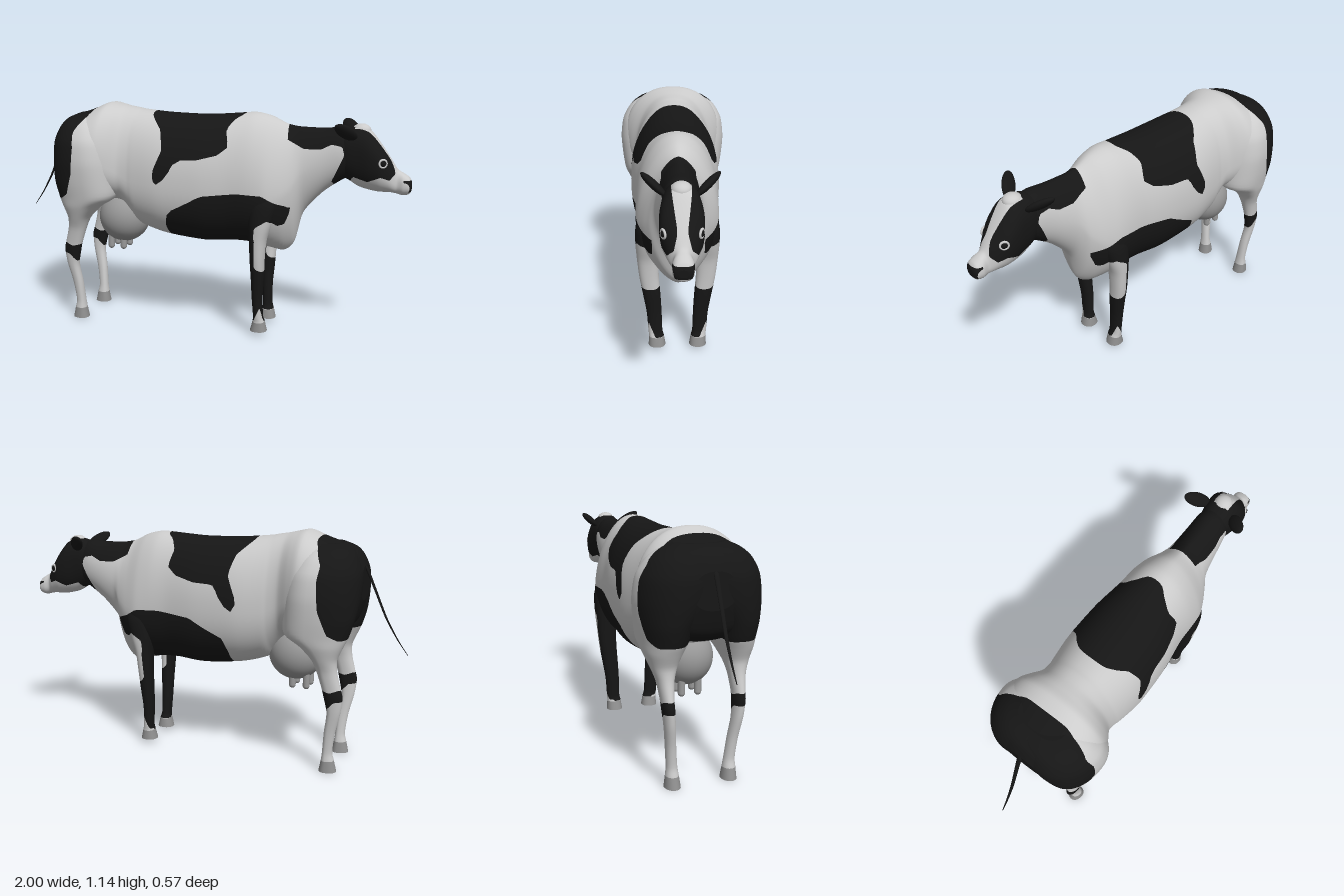
import * as THREE from 'three';

const mat = (color) => new THREE.MeshStandardMaterial({ color, side: THREE.DoubleSide });
const white = mat(0xcccccc), black = mat(0x161616), horn = mat(0x909090), skin = mat(0x999999);

// Smooth interpolation through rows of section numbers.
function sampleRows(rows, t) {
  const i = Math.min(Math.floor(t), rows.length - 2), f = t - i;
  const at = (k) => rows[Math.max(0, Math.min(rows.length - 1, k))];
  return rows[i].map((b, k) => {
    const c = at(i + 1)[k], m0 = (c - at(i - 1)[k]) * 0.4, m1 = (at(i + 2)[k] - b) * 0.4;
    const f2 = f * f, f3 = f2 * f;
    return b * (2 * f3 - 3 * f2 + 1) + m0 * (f3 - 2 * f2 + f) + c * (3 * f2 - 2 * f3) + m1 * (f3 - f2);
  });
}

// Loft of rounded sections. Row: [t, uMin, uWidest, uMax, zMin, zMax, power];
// t runs along x (u is y) or y (u is x); power under 1 is boxy, over 1 is pointed.
function loft(rows, axis, { steps = 4, sides = 40 } = {}) {
  const pos = [], idx = [], n = (rows.length - 1) * steps;
  const put = (t, u, z) => (axis === 'x' ? pos.push(t, u, z) : pos.push(u, t, z));
  const tri = (a, b, c) => (axis === 'x' ? idx.push(a, c, b) : idx.push(a, b, c));
  const ring = (r) => {
    const pw = (v) => Math.sign(v) * Math.abs(v) ** r[6];
    for (let j = 0; j < sides; j++) {
      const a = (j / sides) * Math.PI * 2, s = pw(Math.sin(a)), c = pw(Math.cos(a));
      put(r[0], r[2] + s * (s > 0 ? r[3] - r[2] : r[2] - r[1]), (r[4] + r[5]) / 2 + (c * (r[5] - r[4])) / 2);
    }
  };
  for (let i = 0; i <= n; i++) ring(sampleRows(rows, i / steps));
  for (let i = 0; i < n; i++) for (let j = 0; j < sides; j++) {
    const a = i * sides + j, b = i * sides + ((j + 1) % sides);
    tri(a, b, b + sides);
    tri(a, b + sides, a + sides);
  }
  [rows[0], rows[rows.length - 1]].forEach((r, end) => {
    const base = pos.length / 3;
    ring(r);
    put(r[0], r[2], (r[4] + r[5]) / 2);
    for (let j = 0; j < sides; j++) {
      const a = base + j, b = base + ((j + 1) % sides);
      end ? tri(a, b, base + sides) : tri(b, a, base + sides);
    }
  });
  const g = new THREE.BufferGeometry();
  g.setAttribute('position', new THREE.Float32BufferAttribute(pos, 3));
  g.setIndex(idx);
  g.computeVertexNormals();
  return g;
}

// Signed distance to a polygon in side elevation, positive inside.
const patch = (pts) => ([x, y]) => {
  let d = Infinity, inside = false;
  pts.forEach(([ax, ay], i) => {
    const [bx, by] = pts[(i + 1) % pts.length], ex = bx - ax, ey = by - ay;
    const k = Math.max(0, Math.min(1, ((x - ax) * ex + (y - ay) * ey) / (ex * ex + ey * ey)));
    d = Math.min(d, Math.hypot(x - ax - k * ex, y - ay - k * ey));
    if (ay > y !== by > y && x < ax + (ex * (y - ay)) / ey) inside = !inside;
  });
  return inside ? d : -d;
};
const anyOf = (...fields) => (p) => Math.max(...fields.map((f) => f(p)));

// Cuts triangles along the zero line of a field, giving [inside, outside].
function split(tris, field) {
  const out = [[], []];
  for (const t of tris) {
    const d = t.map(field), polys = [[], []];
    t.forEach((v, i) => {
      const j = (i + 1) % 3, w = t[j], k = d[i] / (d[i] - d[j]);
      polys[d[i] > 0 ? 0 : 1].push(v);
      if (d[i] > 0 !== d[j] > 0) {
        const m = v.map((a, q) => a + (w[q] - a) * k);
        polys[0].push(m);
        polys[1].push(m);
      }
    });
    polys.forEach((p, s) => { for (let i = 2; i < p.length; i++) out[s].push([p[0], p[i - 1], p[i]]); });
  }
  return out;
}

// Splits a surface into coloured meshes; layers are [name, material, field], the rest is hide.
function painted(name, geo, layers) {
  const group = new THREE.Group(), flat = geo.toNonIndexed();
  const P = flat.attributes.position, N = flat.attributes.normal;
  let rest = [];
  for (let i = 0; i < P.count; i += 3) {
    rest.push([i, i + 1, i + 2].map((k) => [P.getX(k), P.getY(k), P.getZ(k), N.getX(k), N.getY(k), N.getZ(k)]));
  }
  const add = (part, material, tris) => {
    const g = new THREE.BufferGeometry(), vs = tris.flat();
    g.setAttribute('position', new THREE.Float32BufferAttribute(vs.flatMap((v) => v.slice(0, 3)), 3));
    g.setAttribute('normal', new THREE.Float32BufferAttribute(vs.flatMap((v) => v.slice(3)), 3));
    const m = new THREE.Mesh(g, material);
    m.name = name + part;
    if (vs.length) group.add(m);
  };
  for (const [part, material, field] of layers) {
    const [inside, outside] = split(rest, field);
    add(part, material, inside);
    rest = outside;
  }
  add('Hide', white, rest);
  group.name = name;
  return group;
}

export function createModel() {
  const cow = new THREE.Group();
  cow.name = 'cow';
  const add = (name, geo, material, x = 0, y = 0, z = 0) => {
    const m = new THREE.Mesh(geo, material);
    m.name = name;
    m.position.set(x, y, z);
    cow.add(m);
    return m;
  };

  // Hide markings
  const spine = patch([[-.31, 1.3], [-.27, 1.09], [-.2, 1.02], [-.175, .93], [-.22, .82], [-.22, .77], [-.19, .75], [-.13, .83],
    [-.11, .88], [0, .885], [.1, .91], [.15, .95], [.13, 1.03], [.16, 1.075], [.205, 1.103], [.21, 1.3]]);
  const flank = patch([[-.17, .55], [-.15, .62], [-.05, .67], [.02, .71], [.2, .73], [.32, .725], [.38, .69], [.455, .665],
    [.42, .58], [.39, .575], [.35, .605], [.29, .57], [.28, .45], [.26, .3], [-.1, .4], [-.17, .48]]);
  const nape = patch([[.39, 1.3], [.42, .985], [.5, .945], [.58, .945], [.63, .97], [.68, .96], [.69, .92], [.65, .83],
    [.63, .79], [.68, .7], [.8, .7], [.8, 1.3]]);
  const rump = patch([[-.95, 1.3], [-.6, 1.3], [-.58, 1.1], [-.63, 1], [-.62, .93], [-.63, .8], [-.67, .69], [-.72, .66], [-.95, .68]]);
  const hock = patch([[-.8, .37], [-.7, .36], [-.665, .32], [-.6, .34], [-.6, .42], [-.68, .405], [-.72, .42], [-.8, .4]]);
  const shin = patch([[.2, .66], [.27, .58], [.29, .5], [.285, .36], [.33, .34], [.4, .33], [.4, .16], [.31, .15], [.28, .08], [.2, .06]]);
  const innerShin = ([, y, z]) => Math.min(.335 - y, y - .07, .11 - Math.abs(z) + (y - .07) * .4);

  // Torso and neck: [x, bottom, widest, top, half width, power]
  const alongX = (rows) => rows.map(([x, b, m, t, w, p = .88]) => [x, b, m, t, -w, w, p]);
  const torso = alongX([
    [-.788, .82, .9, .985, .1, .9], [-.755, .72, .86, 1.045, .19, .9], [-.7, .67, .85, 1.075, .235, .9],
    [-.6, .64, .85, 1.108, .265, .9], [-.52, .64, .85, 1.14, .26, .9], [-.47, .64, .83, 1.133, .235, .9],
    [-.42, .62, .8, 1.122, .203, .92], [-.37, .555, .77, 1.114, .2, .92], [-.33, .51, .76, 1.107, .207, .92],
    [-.2, .472, .75, 1.095, .225, .92], [0, .45, .75, 1.09, .22, .92], [.15, .46, .74, 1.1, .2, .95],
    [.25, .455, .72, 1.107, .198, 1], [.33, .435, .7, 1.09, .193, 1.1], [.4, .423, .72, 1.057, .165, 1.2],
    [.45, .47, .76, 1.045, .135, 1.2], [.49, .62, .83, 1.042, .108, 1.1], [.58, .725, .88, 1.04, .093, 1],
    [.66, .785, .92, 1.045, .083, .95], [.72, .82, .92, 1.03, .07, .92]]);
  cow.add(painted('torso', loft(torso, 'x', { steps: 5, sides: 64 }),
    [['Patches', black, anyOf(spine, flank, nape, rump)]]));

  // Head with white blaze, pale jaw and dark nose
  const head = alongX([
    [.66, .81, .93, 1.03, .065], [.7, .8, .94, 1.045, .078], [.75, .77, .93, 1.055, .085], [.8, .755, .91, 1.035, .092],
    [.85, .747, .88, .975, .088], [.9, .747, .82, .905, .062], [.932, .742, .79, .858, .04], [.96, .735, .785, .84, .045],
    [.985, .74, .782, .824, .043], [.996, .75, .78, .808, .034], [1, .764, .78, .796, .02]]);
  const mask = patch([[.5, 1.3], [.5, .7], [.7, .76], [.73, .82], [.8, .8], [.86, .825], [.9, .81], [.925, .84], [.93, 1.3]]);
  const blaze = ([x, y, z]) => Math.max(.73 - x, Math.abs(z) - .022 - Math.max((y - .92) * .16, (.9 - y) * .25, 0));
  const nose = ([x, y, z]) => Math.min(x - .962, .027 - Math.abs(y - .782), .042 - Math.abs(z) + (y - .79) * .2);
  cow.add(painted('head', loft(head, 'x', { steps: 6, sides: 48 }), [
    ['Nose', black, nose], ['Mask', black, (p) => Math.min(mask(p), blaze(p))]]));
  add('poll', new THREE.SphereGeometry(1, 24, 16), white, .757, 1.033, 0).scale.set(.045, .033, .044);

  // Legs: [y, back, front, inner, outer]
  const foreleg = [
    [.02, .255, .34, .06, .145], [.07, .268, .328, .068, .142], [.1, .272, .32, .075, .145], [.2, .265, .318, .078, .152],
    [.3, .262, .325, .083, .168], [.4, .258, .33, .09, .185], [.5, .255, .34, .09, .195], [.58, .25, .365, .09, .2],
    [.68, .25, .39, .08, .197], [.78, .27, .38, .06, .16]];
  const hindleg = [
    [0, -.715, -.63, .1, .175], [.055, -.702, -.64, .108, .17], [.1, -.693, -.645, .115, .167], [.2, -.705, -.652, .125, .175],
    [.3, -.728, -.664, .135, .187], [.38, -.737, -.648, .14, .195], [.42, -.728, -.638, .14, .198], [.5, -.708, -.612, .13, .21],
    [.56, -.705, -.585, .11, .232], [.62, -.73, -.525, .08, .255], [.67, -.752, -.45, .05, .268], [.75, -.775, -.442, .02, .28],
    [.85, -.79, -.438, -.06, .287], [.95, -.79, -.45, -.1, .273], [1.02, -.765, -.485, -.1, .232], [1.06, -.735, -.52, -.1, .18],
    [1.085, -.68, -.56, -.08, .12]];
  for (const s of [1, -1]) {
    const side = s > 0 ? 'Near' : 'Far';
    const alongY = (rows, widest, power) => rows.map(([y, a, b, i, o]) =>
      [y, a, a + (b - a) * widest, b, Math.min(s * i, s * o), Math.max(s * i, s * o), power]);
    cow.add(painted('foreleg' + side, loft(alongY(foreleg, .5, .9), 'y'),
      [['Hoof', horn, (p) => .068 - p[1]], ['Patches', black, anyOf(shin, innerShin, flank)]]));
    cow.add(painted('hindleg' + side, loft(alongY(hindleg, .6, .95), 'y', { sides: 48 }),
      [['Hoof', horn, (p) => .055 - p[1]], ['Patches', black, anyOf(hock, rump)]]));

    // Ears swept out and back
    const ear = add('ear' + side, new THREE.SphereGeometry(1, 20, 14), black, .698, 1.033, s * .112);
    ear.scale.set(.034, .074, .018);
    ear.quaternion.setFromUnitVectors(new THREE.Vector3(0, 1, 0), new THREE.Vector3(-.085, .075, s * .105).normalize());

    // Eyes
    add('eye' + side, new THREE.SphereGeometry(.018, 20, 14), black, .866, .89, s * .069);
    add('eyeRim' + side, new THREE.TorusGeometry(.018, .0055, 8, 28), white, .868, .89, s * .076).rotation.y = s * .45;

    // Teats
    for (const x of [-.53, -.46]) {
      add('teat' + side, new THREE.CapsuleGeometry(.017, .06, 6, 16), skin, x, .412, s * .04);
    }
  }
  add('udder', new THREE.SphereGeometry(1, 32, 24), skin, -.465, .54, 0).scale.set(.135, .135, .13);

  // Tail
  const tail = [[.57, -1, .002], [.64, -.95, .005], [.74, -.892, .008], [.87, -.835, .01], [.97, -.79, .012], [1.01, -.76, .012]]
    .map(([y, x, r]) => [y, x - r * .6, x, x + r * .6, -r, r, 1]);
  add('tail', loft(tail, 'y', { sides: 12 }), black);
  return cow;
}
